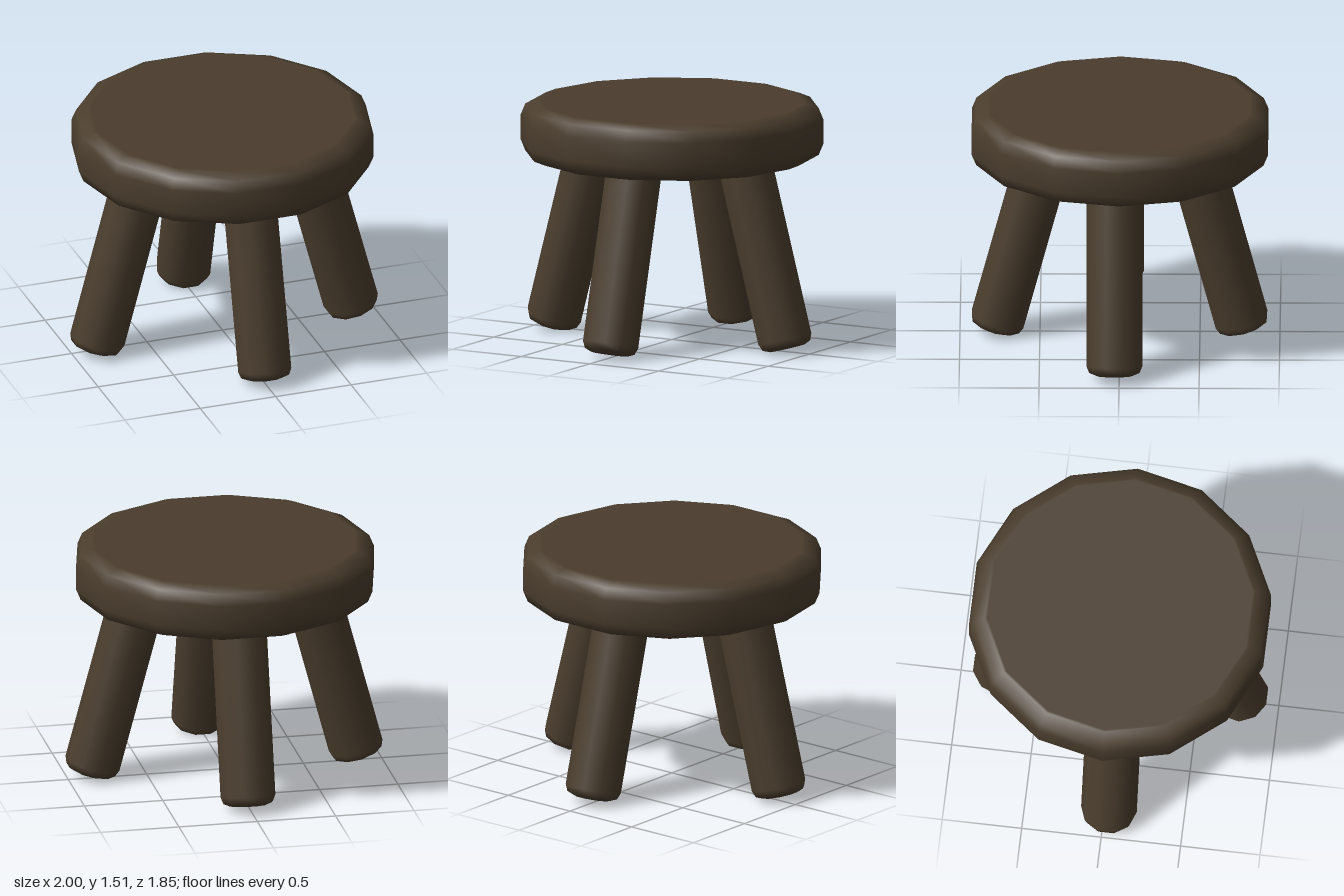
import * as THREE from 'three';

const wood = new THREE.MeshStandardMaterial({ color: 0x4a3d2d });
wood.name = 'darkWood';

// Upright round block with rounded rims, standing on y = 0
function roundedDisc(radius, height, bevel, sides, phiStart) {
  const k = bevel * (1 - Math.SQRT1_2);
  const rim = [
    [radius - bevel - 0.015, 0], // keeps the flat end flat in shading
    [radius - bevel, 0],
    [radius - k, k],
    [radius, bevel],
  ];
  const lower = rim.map(([r, y]) => new THREE.Vector2(r, y));
  const upper = rim.map(([r, y]) => new THREE.Vector2(r, height - y)).reverse();
  const profile = [new THREE.Vector2(0, 0), ...lower, ...upper, new THREE.Vector2(0, height)];
  return new THREE.LatheGeometry(profile, sides, phiStart);
}

export function createModel() {
  const group = new THREE.Group();
  group.name = 'stool';

  // Thick fourteen-sided seat
  const seat = new THREE.Mesh(roundedDisc(0.95, 0.355, 0.1, 14, Math.PI / 2), wood);
  seat.name = 'seat';
  seat.position.y = 1.16;
  group.add(seat);

  // Four ten-sided legs, splayed outwards by 15 degrees
  const legGeometry = roundedDisc(0.175, 1.33, 0.06, 10, 0);
  const legs = [
    ['leftLeg', 0.855, 0.03, 0],
    ['backLeg', 0.01, -0.775, Math.PI / 2],
    ['rightLeg', -0.855, 0.03, Math.PI],
    ['frontLeg', 0.01, 0.78, -Math.PI / 2],
  ];
  for (const [name, x, z, yaw] of legs) {
    const leg = new THREE.Mesh(legGeometry, wood);
    leg.name = name;
    leg.position.set(x, 0.03, z);
    leg.rotation.set(0, yaw, THREE.MathUtils.degToRad(15));
    group.add(leg);
  }
  return group;
}
